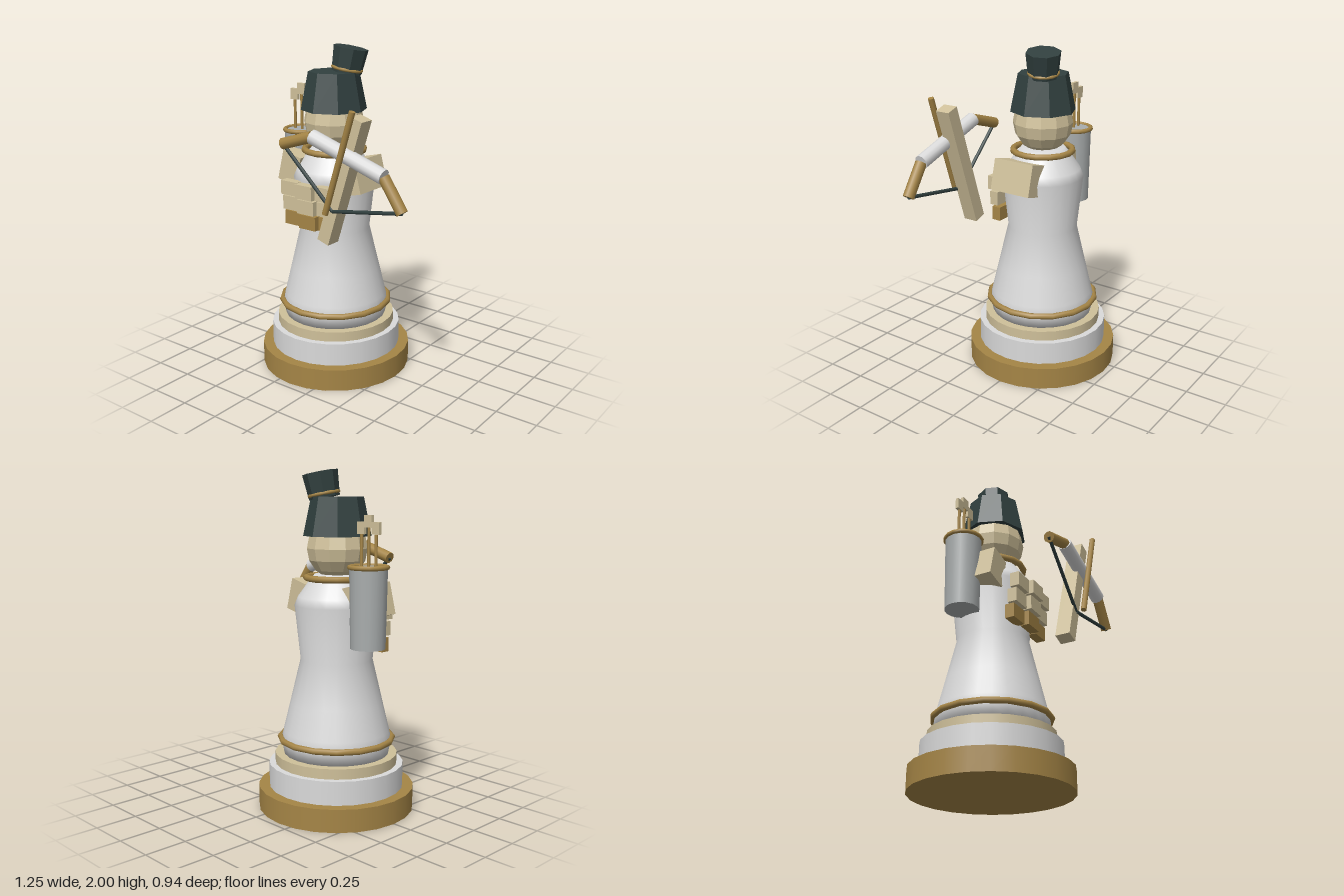
import * as THREE from 'three';

const mat = (name, color) => Object.assign(new THREE.MeshStandardMaterial({ color }), { name });

// Faceted normals for the low-poly parts
function facet(geometry) {
  const g = geometry.toNonIndexed();
  g.computeVertexNormals();
  return g;
}

export function createModel() {
  const model = new THREE.Group();
  model.name = 'chessArcher';
  const brass = mat('brass', 0xa58546);
  const cream = mat('cream', 0xcfc09a);
  const white = mat('paleGrey', 0xdadada);
  const grey = mat('quiverGrey', 0xa9adad);
  const dark = mat('darkGreen', 0x31403f);
  const CX = -0.163; // body axis

  function add(name, geometry, material, x, y, z, rz = 0) {
    const m = new THREE.Mesh(geometry, material);
    m.name = name;
    m.position.set(x, y, z);
    m.rotation.z = rz;
    model.add(m);
    return m;
  }
  const box = (name, material, size, pos, rz) =>
    add(name, new THREE.BoxGeometry(...size), material, ...pos, rz);

  // Cylinder standing on the body axis between two heights
  const tier = (name, material, r, y0, y1) =>
    add(name, new THREE.CylinderGeometry(r, r, y1 - y0, 24), material, CX, (y0 + y1) / 2, -0.004);

  // Cylinder between two points
  function rod(name, material, a, b, r0, r1 = r0, sides = 10, flat = false) {
    const p = new THREE.Vector3(...a), q = new THREE.Vector3(...b);
    const dir = q.clone().sub(p);
    const g = new THREE.CylinderGeometry(r1, r0, dir.length(), sides);
    const m = add(name, flat ? facet(g) : g, material, ...p.clone().add(q).multiplyScalar(0.5).toArray());
    m.quaternion.setFromUnitVectors(new THREE.Vector3(0, 1, 0), dir.normalize());
    return m;
  }

  // Horizontal ring
  function ring(name, r, tube, x, y, z) {
    const g = new THREE.TorusGeometry(r, tube, 8, 16);
    g.rotateX(Math.PI / 2);
    return add(name, g, brass, x, y, z);
  }

  // Stepped base
  tier('base', brass, 0.465, 0, 0.135);
  tier('lowerStep', white, 0.402, 0.135, 0.275);
  tier('upperStep', cream, 0.365, 0.275, 0.335);

  // Robe-shaped body
  const profile = [
    [0, 0.335], [0.315, 0.335], [0.33, 0.41], [0.316, 0.47], [0.275, 0.64], [0.213, 0.9],
    [0.248, 1.22], [0.228, 1.27], [0.16, 1.365], [0.13, 1.4], [0, 1.4],
  ].map(([r, y]) => new THREE.Vector2(r, y));
  add('body', new THREE.LatheGeometry(profile, 24), white, CX, 0, -0.002);
  ring('skirtRing', 0.334, 0.019, CX, 0.422, -0.002);
  ring('collarRing', 0.18, 0.019, CX, 1.38, 0);

  // Head and hat
  add('head', facet(new THREE.SphereGeometry(0.181, 12, 8)), cream, CX, 1.55, 0);
  add('hat', facet(new THREE.CylinderGeometry(0.152, 0.198, 0.225, 8)), dark, CX, 1.7325, 0);
  const topA = [-0.1, 1.838, -0.042], topB = [-0.077, 1.982, -0.057];
  const crown = rod('hatCrown', dark, topA, topB, 0.09, 0.104, 8, true);
  const band = ring('hatBand', 0.086, 0.01, -0.098, 1.86, -0.044);
  band.quaternion.copy(crown.quaternion);

  // Shoulder guards
  for (const s of [-1, 1]) {
    box('shoulderGuard', cream, [0.14, 0.19, 0.27], [CX + s * 0.223, 1.255, 0.025], s * 0.25);
  }

  // Armour plates, three rows of three with the middle column set forward
  for (let row = 0; row < 3; row++) {
    for (let col = -1; col <= 1; col++) {
      const z = 0.247 - row * 0.016 + (col === 0 ? 0.026 : 0);
      box('chestPlate', row === 2 ? brass : cream, [0.123, 0.085, 0.056],
        [CX + col * 0.129, 1.17 - row * 0.096, z]);
    }
  }

  // Quiver with three arrows
  const QX = -0.448, QZ = -0.041;
  add('quiver', new THREE.CylinderGeometry(0.108, 0.1, 0.46, 16), grey, QX, 1.23, QZ);
  ring('quiverRim', 0.106, 0.014, QX, 1.458, QZ);
  for (const i of [-1, 0, 1]) {
    const x = QX + i * 0.054, top = i === 0 ? 1.71 : 1.673;
    rod('arrowShaft', brass, [x, 1.4, QZ], [x, top, QZ], 0.009, 0.009, 8);
    box('arrowFletching', cream, [0.055, 0.068, 0.02], [x, top, QZ]);
  }

  // Bow limbs, grip and string
  const BZ = 0.403;
  const tipA = [-0.215, 1.475, BZ], tipB = [0.6, 1.21, BZ];
  const elbowA = [0, 1.542, BZ], elbowB = [0.48, 1.388, BZ], nock = [0.137, 1.138, BZ];
  rod('bowTip', brass, tipA, elbowA, 0.034);
  rod('bowLimb', white, elbowA, elbowB, 0.043, 0.043, 12);
  rod('bowTip', brass, elbowB, tipB, 0.034);
  rod('bowString', dark, tipA, nock, 0.011, 0.011, 6);
  rod('bowString', dark, nock, tipB, 0.011, 0.011, 6);
  box('bowStock', cream, [0.08, 0.765, 0.093], [0.182, 1.306, 0.357], -0.31);
  rod('loadedArrow', brass, [0.127, 1.133, 0.456], [0.315, 1.722, 0.456], 0.018, 0.018, 8);

  return model;
}
